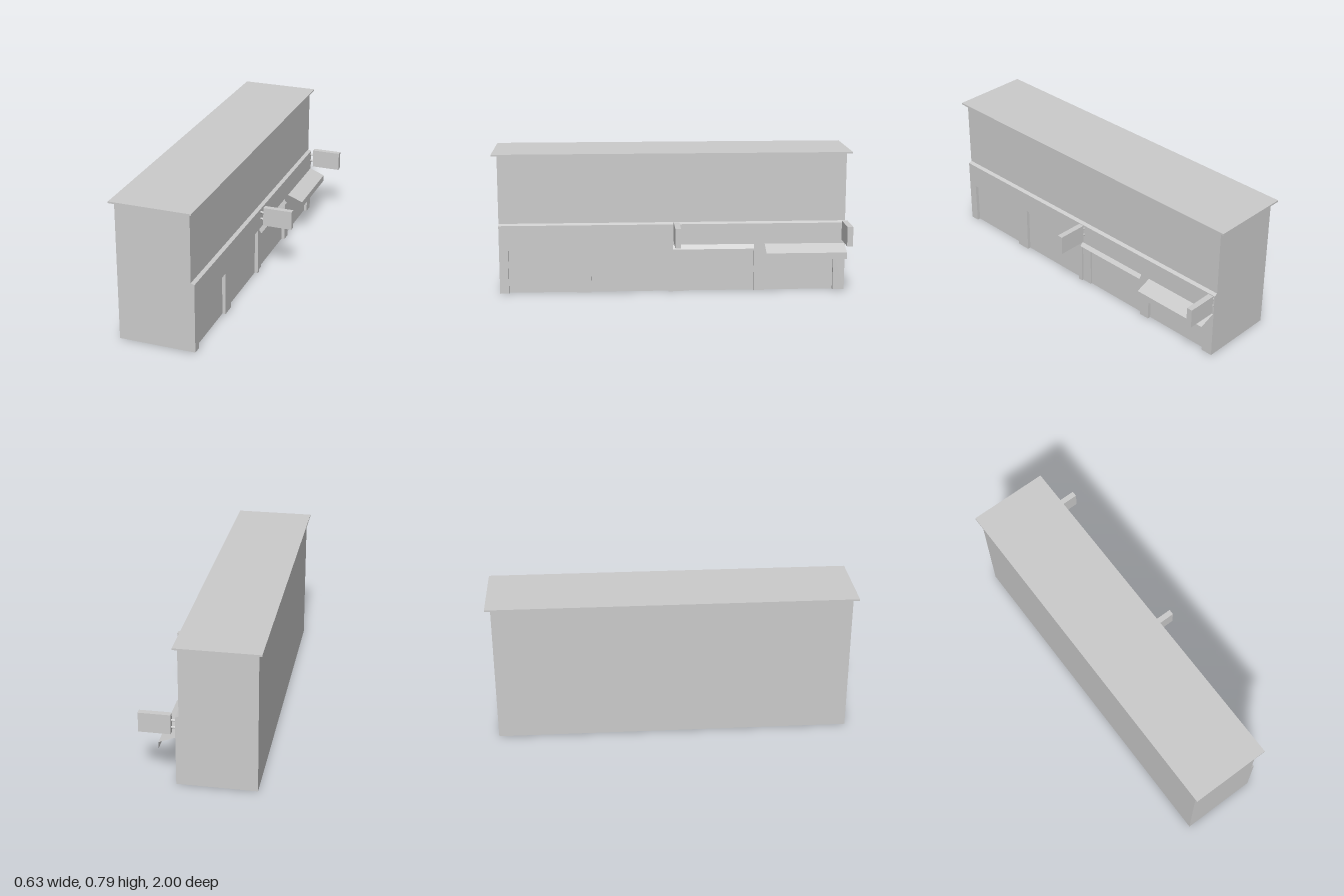
import * as THREE from 'three';

const mat = new THREE.MeshStandardMaterial({ color: 0xcccccc, flatShading: true, side: THREE.DoubleSide });

function add(parent, name, geometry, x = 0, y = 0, z = 0) {
  const mesh = new THREE.Mesh(geometry, mat);
  mesh.name = name;
  mesh.position.set(x, y, z);
  parent.add(mesh);
  return mesh;
}

// box given by its limits on each axis
function box(parent, name, [x0, x1], [y0, y1], [z0, z1]) {
  return add(parent, name, new THREE.BoxGeometry(x1 - x0, y1 - y0, z1 - z0),
    (x0 + x1) / 2, (y0 + y1) / 2, (z0 + z1) / 2);
}

// thin sheet: an open profile of [x, y] points swept from z0 to z1
function sheet(parent, name, profile, z0, z1) {
  const pos = [], idx = [];
  profile.forEach(([x, y], i) => {
    pos.push(x, y, z0, x, y, z1);
    if (i) idx.push(2 * i - 2, 2 * i - 1, 2 * i, 2 * i - 1, 2 * i + 1, 2 * i);
  });
  const g = new THREE.BufferGeometry();
  g.setAttribute('position', new THREE.Float32BufferAttribute(pos, 3));
  g.setIndex(idx);
  const flat = g.toNonIndexed();
  flat.computeVertexNormals();
  return add(parent, name, flat);
}

const END = 0.97, BACK = -0.298, WALL = 0.107, MID = 0.116, FRONT = 0.126;
const EAVES = 0.778, LEDGE = 0.387, LEDGE_TOP = 0.396;

// shopfront layer between x0 and x1, with doorways [zStart, zEnd, height] cut from the ground
function shopfrontLayer(parent, name, x0, x1, doorways) {
  const s = new THREE.Shape();
  s.moveTo(-END, 0);
  for (const [za, zb, h] of doorways) {
    s.lineTo(-za, 0); s.lineTo(-za, h); s.lineTo(-zb, h); s.lineTo(-zb, 0);
  }
  s.lineTo(END, 0); s.lineTo(END, LEDGE); s.lineTo(-END, LEDGE);
  const g = new THREE.ExtrudeGeometry(s, { depth: x1 - x0, bevelEnabled: false });
  g.rotateY(Math.PI / 2);
  return add(parent, name, g, x0);
}

// projecting board held by two short rods
function hangingSign(z) {
  const sign = new THREE.Group();
  sign.name = 'hangingSign';
  box(sign, 'signBoard', [0.147, 0.315], [0.294, 0.402], [z - 0.016, z + 0.016]);
  for (const y of [0.327, 0.367]) {
    const rod = add(sign, 'signRod', new THREE.CylinderGeometry(0.0065, 0.0065, 0.022, 12), 0.137, y, z);
    rod.rotation.z = Math.PI / 2;
  }
  return sign;
}

export function createModel() {
  const model = new THREE.Group();
  model.name = 'shopRow';

  // shell of the building, open underneath
  sheet(model, 'backWall', [[BACK, 0], [BACK, EAVES]], -END, END);
  sheet(model, 'streetWall', [[WALL, EAVES], [WALL, 0]], -END, END);
  for (const side of [-1, 1]) {
    const wall = add(model, 'endWall', new THREE.PlaneGeometry(WALL - BACK, EAVES),
      (WALL + BACK) / 2, EAVES / 2, side * END);
    if (side < 0) wall.rotation.y = Math.PI;
  }
  box(model, 'roof', [-0.317, 0.127], [EAVES, 0.787], [-1, 1]);

  // shopfront in two layers, so one entrance is stepped
  const first = [0.92, 0.54, 0.245], second = [0.46, 0.025, 0.27], fourth = [-0.515, -0.905, 0.21];
  shopfrontLayer(model, 'shopfrontInner', WALL, MID, [first, second, [-0.06, -0.455, 0.225], fourth]);
  shopfrontLayer(model, 'shopfrontOuter', MID, FRONT, [first, second, [0, -0.455, 0.27], fourth]);

  // sloping ledge on top of the shopfront
  const cap = new THREE.Shape([[WALL, LEDGE], [FRONT, LEDGE], [WALL, LEDGE_TOP]]
    .map(([x, y]) => new THREE.Vector2(x, y)));
  add(model, 'ledge', new THREE.ExtrudeGeometry(cap, { depth: 2 * END, bevelEnabled: false }), 0, 0, -END);

  // awnings over the last two shops
  sheet(model, 'smallAwning', [[MID, 0.27], [0.138, 0.245]], -0.455, 0);
  sheet(model, 'largeAwning', [[FRONT, 0.27], [0.215, 0.235], [0.215, 0.198]], -0.965, -0.515);

  for (const z of [-0.018, -0.961]) model.add(hangingSign(z));
  return model;
}
